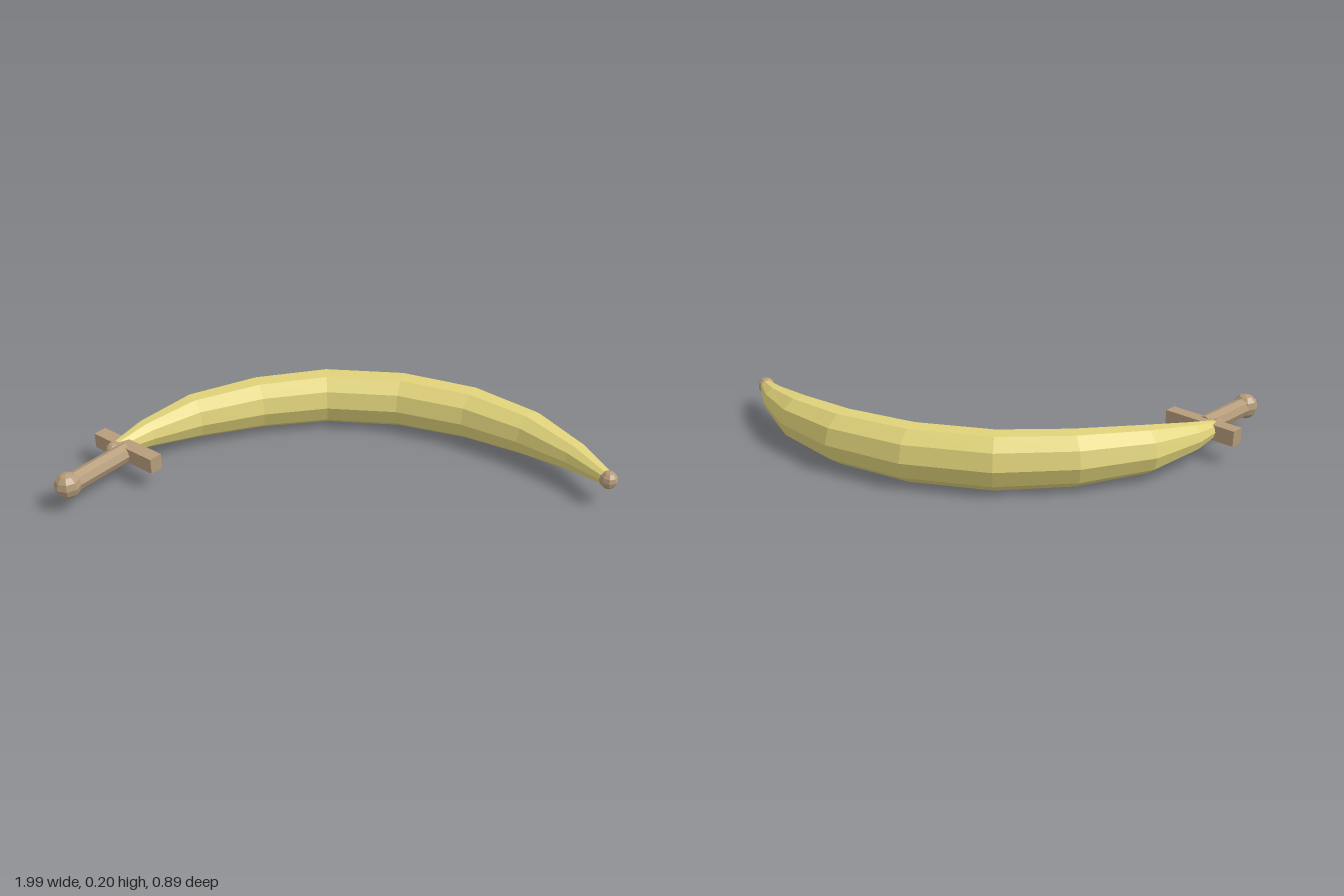
import * as THREE from 'three';

const Y = 0.104; // height of the common centre plane

// Stations along the curved blade: x, z, radius
const STATIONS = [
  [-0.855, 0.152, 0.025], [-0.765, 0.028, 0.055], [-0.615, -0.12, 0.087],
  [-0.38, -0.253, 0.102], [-0.117, -0.338, 0.107], [0.185, -0.34, 0.107],
  [0.465, -0.263, 0.103], [0.688, -0.135, 0.088], [0.85, 0.015, 0.057],
  [0.96, 0.152, 0.025],
];

// Ten-sided tapering tube swept through the stations
function bladeGeometry(sides = 10) {
  const centres = STATIONS.map(([x, z]) => new THREE.Vector3(x, Y, z));
  const last = centres.length - 1;
  const rings = centres.map((c, i) => {
    const t = centres[Math.min(i + 1, last)].clone().sub(centres[Math.max(i - 1, 0)]).normalize();
    const r = STATIONS[i][2];
    return Array.from({ length: sides }, (_, k) => {
      const a = (k / sides) * Math.PI * 2;
      return [c.x + r * Math.cos(a) * t.z, c.y + r * Math.sin(a), c.z - r * Math.cos(a) * t.x];
    });
  });
  const pos = [];
  for (let i = 0; i < last; i++) {
    for (let k = 0; k < sides; k++) {
      const n = (k + 1) % sides;
      const a = rings[i][k], b = rings[i][n], c = rings[i + 1][n], d = rings[i + 1][k];
      pos.push(...a, ...b, ...c, ...a, ...c, ...d);
    }
  }
  const g = new THREE.BufferGeometry();
  g.setAttribute('position', new THREE.Float32BufferAttribute(pos, 3));
  g.computeVertexNormals();
  return g;
}

export function createModel() {
  const group = new THREE.Group();
  const yellow = new THREE.MeshStandardMaterial({ color: 0xe0d27a });
  const tan = new THREE.MeshStandardMaterial({ color: 0xb59c7a });
  yellow.name = 'banana yellow';
  tan.name = 'stem tan';
  yellow.flatShading = tan.flatShading = true;

  const add = (name, geometry, material, parent = group) => {
    const mesh = new THREE.Mesh(geometry, material);
    mesh.name = name;
    parent.add(mesh);
    return mesh;
  };

  // Curved blade with a knob at each end
  add('blade', bladeGeometry(), yellow);
  add('bladeTip', new THREE.SphereGeometry(0.034, 8, 6), tan).position.set(0.96, Y, 0.155);
  add('bladeRoot', new THREE.SphereGeometry(0.031, 8, 6), tan).position.set(-0.855, Y, 0.155);

  // Hilt: crossguard along local x, grip and pommel along local +z
  const hilt = new THREE.Group();
  hilt.name = 'hilt';
  hilt.position.set(-0.803, Y - 0.003, 0.149);
  hilt.rotation.y = -0.545;
  group.add(hilt);
  add('crossguard', new THREE.BoxGeometry(0.3, 0.06, 0.053), tan, hilt);
  const grip = new THREE.CylinderGeometry(0.037, 0.037, 0.27, 8);
  grip.rotateX(Math.PI / 2);
  add('grip', grip, tan, hilt).position.z = 0.145;
  add('pommel', new THREE.SphereGeometry(0.049, 8, 6), tan, hilt).position.z = 0.287;

  return group;
}
